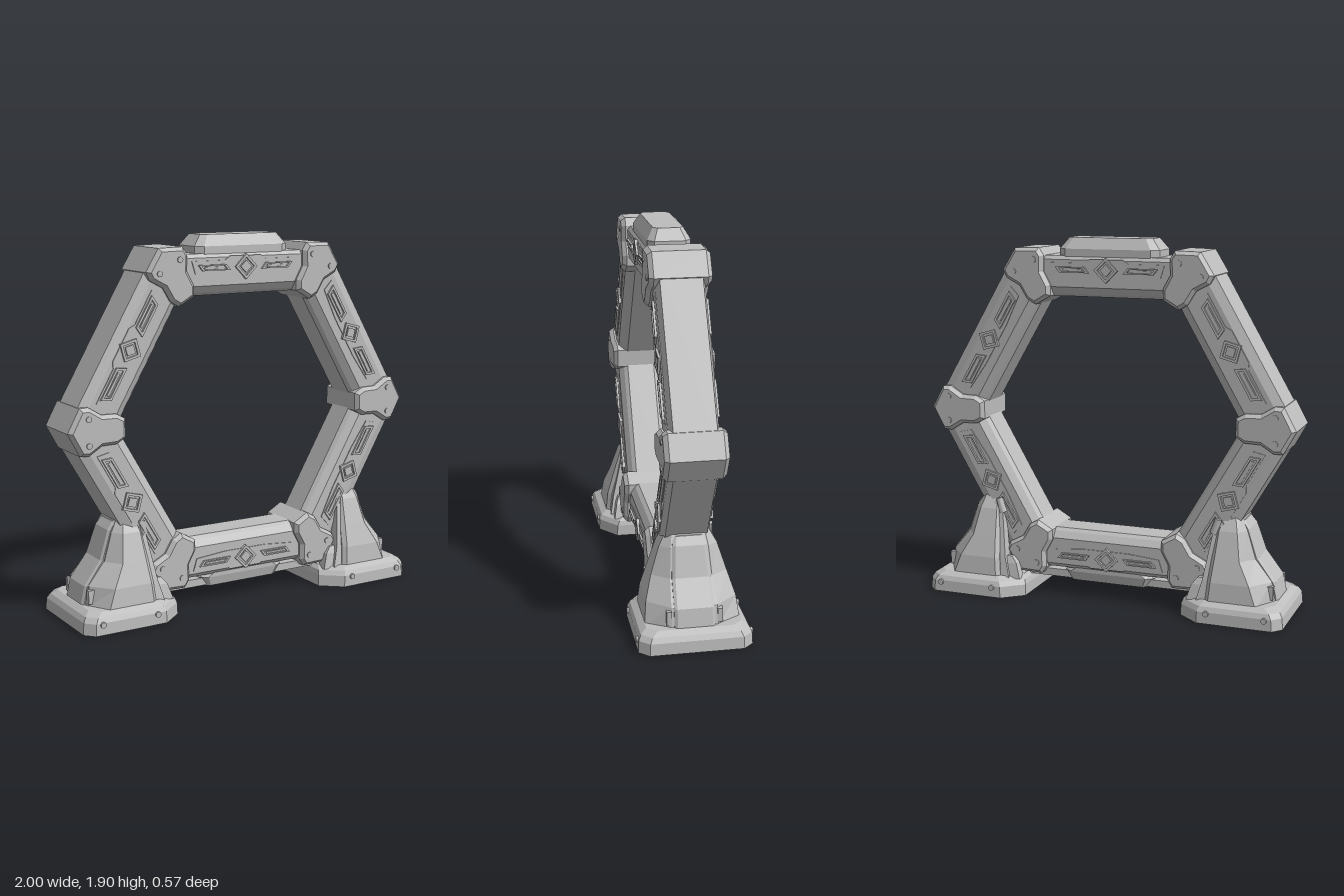
import * as THREE from 'three';

const steel = new THREE.MeshStandardMaterial({ color: 0xbdbdbd });
steel.name = 'grey metal';
const TAN30 = Math.tan(Math.PI / 6);

function mesh(name, geometry, parent, x = 0, y = 0, z = 0) {
  const m = new THREE.Mesh(geometry, steel);
  m.name = name;
  m.position.set(x, y, z);
  parent.add(m);
  return m;
}

// Faceted solid through convex cross-sections, each a list of [x, y, z]
function loft(sections) {
  const tris = [], n = sections[0].length, last = sections[sections.length - 1];
  for (let s = 0; s + 1 < sections.length; s++) {
    for (let i = 0; i < n; i++) {
      const j = (i + 1) % n, a = sections[s], b = sections[s + 1];
      tris.push([a[i], a[j], b[j]], [a[i], b[j], b[i]]);
    }
  }
  for (let i = 1; i + 1 < n; i++) {
    tris.push([sections[0][0], sections[0][i + 1], sections[0][i]], [last[0], last[i], last[i + 1]]);
  }
  // Turn the faces outward whichever way the sections run
  let volume = 0;
  for (const [a, b, c] of tris) {
    volume += a[0] * (b[1] * c[2] - b[2] * c[1]) + a[1] * (b[2] * c[0] - b[0] * c[2]) + a[2] * (b[0] * c[1] - b[1] * c[0]);
  }
  if (volume < 0) tris.forEach((t) => t.reverse());
  const g = new THREE.BufferGeometry();
  g.setAttribute('position', new THREE.Float32BufferAttribute(tris.flat(2), 3));
  g.computeVertexNormals();
  return g;
}

// Horizontal rectangle with its own chamfer at the -x and +x corners
function plan(y, x0, x1, z, [ax, az], [bx, bz] = [ax, az]) {
  return [[x0, y, az - z], [x0, y, z - az], [x0 + ax, y, z], [x1 - bx, y, z],
    [x1, y, z - bz], [x1, y, bz - z], [x1 - bx, y, -z], [x0 + ax, y, -z]];
}

const toShape = (pts) => new THREE.Shape(pts.map(([x, y]) => new THREE.Vector2(x, y)));

function plate(points, depth, hole) {
  const s = toShape(points);
  if (hole) s.holes.push(toShape(hole));
  return new THREE.ExtrudeGeometry(s, { depth, bevelEnabled: false });
}

const diamond = (r) => [[r, 0], [0, r], [-r, 0], [0, -r]];
const slot = (l, w, k) => [[-l - k, -w], [l - k, -w], [l + k, w], [-l + k, w]];

// Ornament on one face of a beam
function addOrnament(beam, side, flat) {
  const face = new THREE.Group();
  face.name = 'beamOrnament';
  if (side < 0) face.rotation.y = Math.PI;
  beam.add(face);
  const z = 0.119, y = 0.76;
  mesh('facePanel', plate([[-0.29, -0.03], [-0.12, -0.045], [0.12, -0.045], [0.29, -0.03],
    [0.31, 0.035], [0.12, 0.035], [0.09, 0.055], [-0.09, 0.055], [-0.12, 0.035], [-0.31, 0.035]], 0.006), face, 0, y, z);
  mesh('diamondFrame', plate(diamond(0.064), 0.017, diamond(0.046)), face, 0, y, z);
  mesh('diamondCore', plate(diamond(0.032), 0.015), face, 0, y, z);
  for (const s of [-1, 1]) {
    const w = flat ? 0.015 : 0.026, l = flat ? 0.08 : 0.088;
    mesh('slotFrame', plate(slot(l, w, s * 0.012), 0.017, slot(l - 0.014, w * 0.55, s * 0.007)), face, s * 0.185, y, z);
    mesh('slotBar', plate(slot(l - 0.025, w * 0.25, 0), 0.012), face, s * 0.185, y, z);
  }
}

function addBeam(ring, k) {
  const flat = k % 3 === 0;
  const beam = new THREE.Group();
  beam.name = flat ? 'crossBeam' : 'sideBeam';
  beam.rotation.z = k * Math.PI / 3;
  ring.add(beam);
  const half = flat
    ? [[0.62, 0.075], [0.635, 0.095], [0.67, 0.12], [0.81, 0.12], [0.83, 0.105]]
    : [[0.62, 0.075], [0.635, 0.095], [0.67, 0.12], [0.82, 0.12], [0.866, 0.103]];
  const profile = [...half, ...half.map(([a, z]) => [a, -z]).reverse()];
  mesh('beamBody', loft([-1, 1].map((s) => profile.map(([a, z]) => [s * a * TAN30, a, z]))), beam);
  for (const side of [1, -1]) addOrnament(beam, side, flat);
}

function addCorner(ring, k) {
  const corner = new THREE.Group();
  corner.name = 'cornerJoint';
  corner.rotation.z = k * Math.PI / 3;
  ring.add(corner);
  const half = [[0.936, 0.118], [0.889, 0.12], [0.82, 0.077], [0.74, 0.075], [0.692, 0.048]];
  const outline = [[1, 0], ...half, ...half.map(([r, t]) => [r, -t]).reverse()];
  const body = new THREE.ExtrudeGeometry(toShape(outline), {
    depth: 0.26, bevelEnabled: true, bevelThickness: 0.022, bevelSize: 0.018, bevelOffset: -0.018, bevelSegments: 1,
  });
  body.translate(0, 0, -0.13);
  mesh('cornerBlock', body, corner);
  for (const t of [-0.065, 0.065]) {
    const bolt = new THREE.CylinderGeometry(0.015, 0.017, 0.316, 12);
    mesh('cornerBolt', bolt, corner, 0.896, t, 0).rotation.x = Math.PI / 2;
  }
}

// Foot built on the -x side
function createFoot() {
  const foot = new THREE.Group();
  foot.name = 'foot';
  const small = [0.045, 0.05], big = [0.11, 0.09];
  mesh('footBase', loft([
    plan(0, -0.98, -0.435, 0.28, small, big),
    plan(0.06, -0.975, -0.437, 0.277, small, big),
    plan(0.085, -0.96, -0.445, 0.265, small, big),
    plan(0.105, -0.93, -0.465, 0.235, small, big),
  ]), foot);
  mesh('footTower', loft([
    plan(0.09, -0.91, -0.57, 0.235, [0.07, 0.12], [0.02, 0.02]),
    plan(0.2, -0.89, -0.58, 0.222, [0.09, 0.11], [0.02, 0.02]),
    plan(0.31, -0.80, -0.59, 0.188, [0.06, 0.085], [0.02, 0.02]),
    plan(0.45, -0.755, -0.60, 0.143, [0.04, 0.05], [0.02, 0.02]),
    plan(0.525, -0.715, -0.62, 0.1, [0.02, 0.02]),
  ]), foot);
  // Raised panel on the outer face
  mesh('outerPanel', loft([
    plan(0.1, -0.925, -0.7, 0.1, [0.01, 0.015]),
    plan(0.195, -0.905, -0.7, 0.1, [0.01, 0.015]),
    plan(0.315, -0.815, -0.7, 0.095, [0.01, 0.015]),
    plan(0.46, -0.765, -0.68, 0.085, [0.01, 0.015]),
    plan(0.5, -0.735, -0.68, 0.075, [0.01, 0.015]),
  ]), foot);
  for (const s of [-1, 1]) {
    // Slanted rib, toe block and clips beside the ring
    const rib = (y, x0, x1, z0, z1) => [[x0, y, s * z0], [x1, y, s * z0], [x1, y, s * z1], [x0, y, s * z1]];
    mesh('innerRib', loft([
      rib(0.09, -0.63, -0.52, 0.13, 0.215), rib(0.2, -0.62, -0.55, 0.13, 0.195), rib(0.49, -0.64, -0.595, 0.09, 0.125),
    ]), foot);
    mesh('toeBlock', loft([
      rib(0.09, -0.6, -0.465, 0.145, 0.2), rib(0.17, -0.6, -0.49, 0.145, 0.185), rib(0.205, -0.59, -0.52, 0.145, 0.17),
    ]), foot);
    mesh('topClip', new THREE.CylinderGeometry(0.018, 0.022, 0.08, 8), foot, -0.6, 0.47, s * 0.125).rotation.z = 0.3;
    mesh('lowerClip', new THREE.BoxGeometry(0.04, 0.07, 0.025), foot, -0.885, 0.15, s * 0.125);
    for (const x of [-0.895, -0.595]) {
      mesh('baseBolt', new THREE.CylinderGeometry(0.015, 0.015, 0.02, 12), foot, x, 0.052, s * 0.276).rotation.x = Math.PI / 2;
    }
  }
  return foot;
}

export function createModel() {
  const model = new THREE.Group();
  model.name = 'hexagonalGate';

  // Six beams and six joints
  const ring = new THREE.Group();
  ring.name = 'ring';
  ring.position.set(0, 0.983, 0.01);
  model.add(ring);
  for (let k = 0; k < 6; k++) {
    addBeam(ring, k);
    addCorner(ring, k);
  }

  // Housing on the top beam
  mesh('topHousing', loft([
    plan(0.8, -0.27, 0.27, 0.108, [0.04, 0.03]),
    plan(0.865, -0.27, 0.27, 0.108, [0.04, 0.03]),
    plan(0.922, -0.225, 0.225, 0.075, [0.03, 0.02]),
  ]), ring);

  // Rail and housing under the bottom beam
  mesh('bottomRail', new THREE.BoxGeometry(0.92, 0.04, 0.17), model, 0, 0.11, 0.01);
  mesh('bottomHousing', loft([
    plan(0.085, -0.22, 0.22, 0.095, [0.03, 0.02]),
    plan(0.135, -0.25, 0.25, 0.108, [0.04, 0.03]),
    plan(0.17, -0.2, 0.2, 0.108, [0.04, 0.03]),
  ]), model, 0, 0, 0.01);

  // Two feet, the second turned half round
  const rightFoot = createFoot();
  const leftFoot = createFoot();
  rightFoot.name = 'rightFoot';
  leftFoot.name = 'leftFoot';
  leftFoot.rotation.y = Math.PI;
  model.add(rightFoot, leftFoot);
  return model;
}
